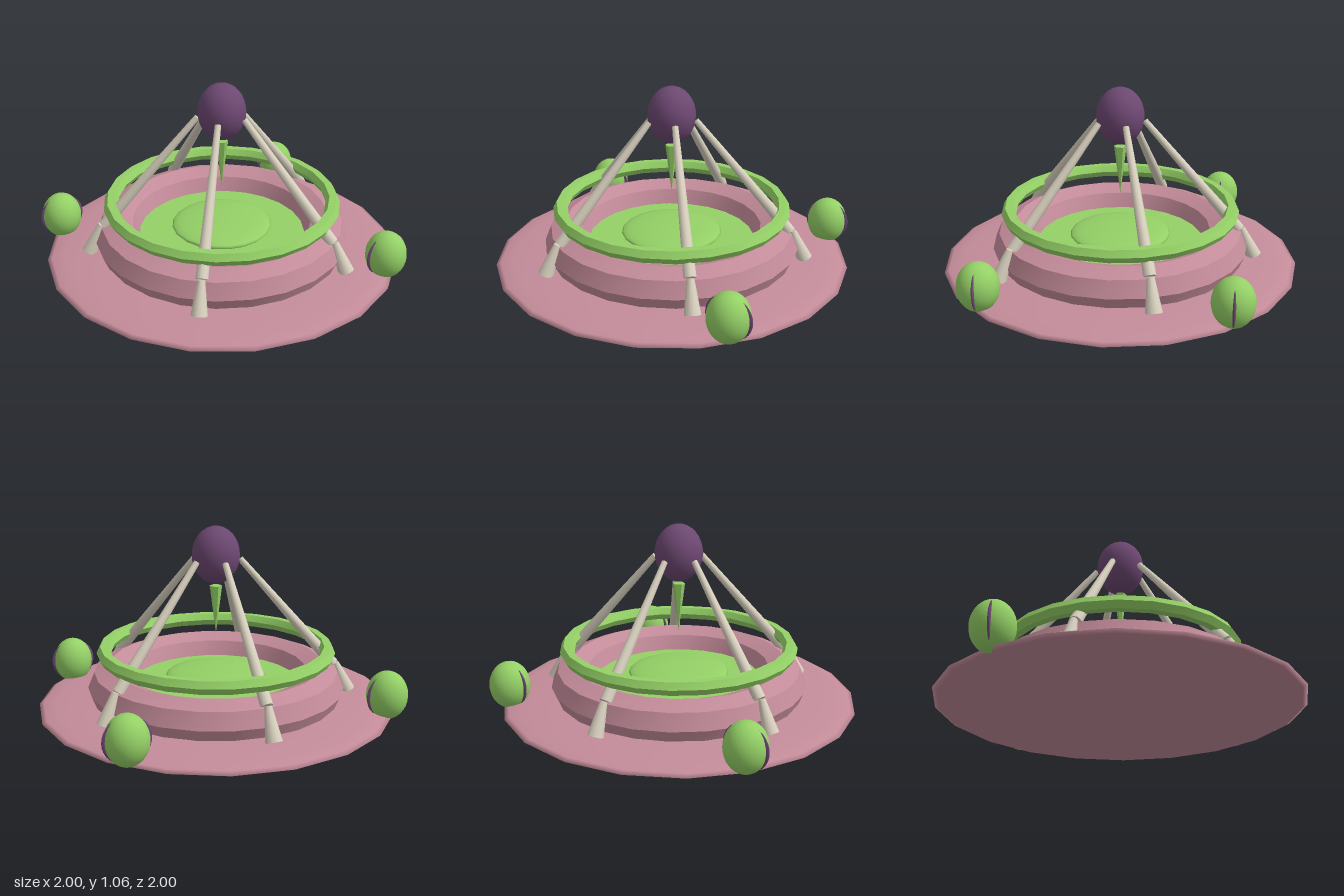
import * as THREE from 'three';
import { toCreasedNormals } from 'three/addons/utils/BufferGeometryUtils.js';

const material = (name, color) => {
  const m = new THREE.MeshStandardMaterial({ color });
  m.name = name;
  return m;
};

export function createModel() {
  const pink = material('pink flesh', 0xc48c9a);
  const green = material('slime green', 0x94d066);
  const purple = material('deep purple', 0x6d4872);
  const bone = material('bone', 0xd8d0be);

  const model = new THREE.Group();
  model.name = 'altar';

  const add = (name, geometry, mat, x = 0, y = 0, z = 0, parent = model) => {
    const mesh = new THREE.Mesh(geometry, mat);
    mesh.name = name;
    mesh.position.set(x, y, z);
    parent.add(mesh);
    return mesh;
  };
  const ellipsoid = (rx, ry, rz, w = 24, h = 16) =>
    new THREE.SphereGeometry(1, w, h).scale(rx, ry, rz);
  // Horizontal ring with crisp edges between its bands
  const ring = (radius, tube, sides) =>
    toCreasedNormals(new THREE.TorusGeometry(radius, tube, sides, 24).rotateX(Math.PI / 2), 0.6);
  // Tapered rod between two points
  const rod = (name, from, to, r0, r1, parent) => {
    const dir = to.clone().sub(from);
    const mid = from.clone().add(to).multiplyScalar(0.5);
    const mesh = add(name, new THREE.CylinderGeometry(r1, r0, dir.length(), 10), bone,
      mid.x, mid.y, mid.z, parent);
    mesh.quaternion.setFromUnitVectors(new THREE.Vector3(0, 1, 0), dir.normalize());
  };

  // Flattened base and raised rim
  add('base', ellipsoid(1, 0.06, 1, 20, 14), pink, 0, 0.06, 0);
  add('rim', ring(0.597, 0.125, 8), pink, 0, 0.165, 0);

  // Pool with a shallow swelling in the middle
  add('pool', new THREE.CylinderGeometry(0.49, 0.49, 0.08, 24), green, 0, 0.13, 0);
  add('poolBubble', ellipsoid(0.285, 0.04, 0.285, 20, 12), green, 0, 0.21, 0);

  // Floating hoop
  add('hoop', ring(0.628, 0.041, 6), green, 0, 0.365, 0);

  // Orb with a drip beneath it
  add('orb', ellipsoid(0.133, 0.16, 0.133), purple, 0, 0.904, 0);
  add('drip', toCreasedNormals(new THREE.ConeGeometry(0.035, 0.275, 6).rotateX(Math.PI), 0.6),
    green, 0, 0.593, 0);

  // Five bone legs with flared feet, the first at the back
  for (let i = 0; i < 5; i++) {
    const leg = new THREE.Group();
    leg.name = 'leg' + (i + 1);
    leg.rotation.y = (i * Math.PI * 2) / 5;
    model.add(leg);
    const at = (r, y) => new THREE.Vector3(0, y, -r);
    rod('shin', at(0.67, 0.26), at(0.135, 0.88), 0.034, 0.017, leg);
    rod('foot', at(0.76, 0.1), at(0.685, 0.265), 0.045, 0.02, leg);
  }

  // Eyeballs with slit pupils showing on both sides
  [[-0.77, -0.578], [0.717, -0.626], [0.668, 0.668]].forEach(([x, z], i) => {
    const eye = new THREE.Group();
    eye.name = 'eye' + (i + 1);
    eye.position.set(x, 0.178, z);
    model.add(eye);
    add('eyeball', ellipsoid(0.113, 0.134, 0.113), green, 0, 0, 0, eye);
    add('pupil', ellipsoid(0.127, 0.125, 0.018), purple, 0, 0, 0, eye);
  });

  return model;
}
